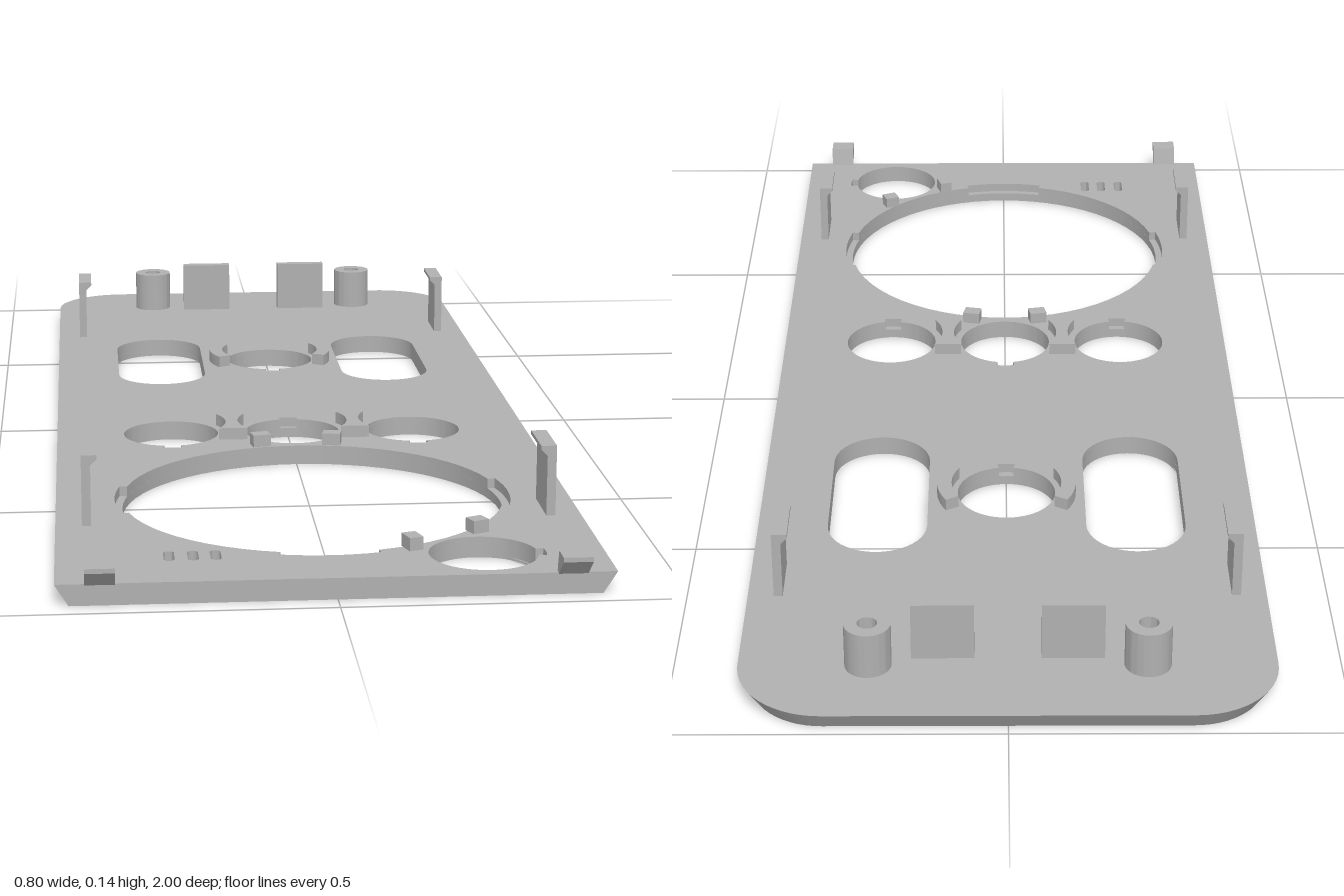
import * as THREE from 'three';
import { toCreasedNormals } from 'three/addons/utils/BufferGeometryUtils.js';

const H = 0.032;      // plate thickness
const SKIN = 0.004;   // depth of the grooves underneath
const MID = 0.016;    // floor of the notches around the holes
const DEG = Math.PI / 180;

// Points of an arc in the plan (x, z), angles in degrees
function arc(cx, cz, r, a0, a1, n = 10) {
  return Array.from({ length: n + 1 }, (_, i) => {
    const a = (a0 + (a1 - a0) * i / n) * DEG;
    return new THREE.Vector2(cx + r * Math.cos(a), cz + r * Math.sin(a));
  });
}

// Circle whose radius grows by a notch at each listed [angle, half width]
function circle(cx, cz, r, notches = [], grow = 0.012) {
  const pts = [];
  let at = 0;
  const sorted = notches.map(([a, w]) => [a - w, a + w]).sort((p, q) => p[0] - q[0]);
  if (!sorted.length) return arc(cx, cz, r, 0, 360, 64).slice(0, -1);
  at = sorted[0][0];
  const end = at + 360;
  sorted.forEach(([a, b], i) => {
    const next = i + 1 < sorted.length ? sorted[i + 1][0] : end;
    pts.push(...arc(cx, cz, r + grow, a, b, 8));
    pts.push(...arc(cx, cz, r, b, next, Math.ceil((next - b) / 6)));
  });
  return pts;
}

function roundRect(x, z0, z1, r, cx = 0) {
  return [
    ...arc(cx + x - r, z1 - r, r, 0, 90), ...arc(cx - x + r, z1 - r, r, 90, 180),
    ...arc(cx - x + r, z0 + r, r, 180, 270), ...arc(cx + x - r, z0 + r, r, 270, 360),
  ];
}

// Upright extrusion of a plan outline between two heights
function slab(points, holes, y0, y1) {
  const shape = new THREE.Shape(points);
  shape.holes = holes.map((h) => new THREE.Path(h));
  const g = new THREE.ExtrudeGeometry(shape, { depth: y1 - y0, bevelEnabled: false });
  return g.rotateX(Math.PI / 2).translate(0, y1, 0);
}

// Pull the outer rim inwards towards the underside; the front edge stays upright
function taper(g) {
  const p = g.attributes.position;
  for (let i = 0; i < p.count; i++) {
    const x = p.getX(i), z = p.getZ(i);
    const cx = THREE.MathUtils.clamp(x, -0.27, 0.27), cz = Math.max(z, -0.87);
    const d = Math.hypot(x - cx, z - cz);
    if (d < 0.125) continue;
    const k = (d - 0.02 * (1 - p.getY(i) / H)) / d;
    p.setX(i, cx + (x - cx) * k);
    p.setZ(i, cz + (z - cz) * k);
  }
  g.computeVertexNormals();
  return g;
}

export function createModel() {
  const model = new THREE.Group();
  model.name = 'remoteFaceplate';
  const grey = new THREE.MeshStandardMaterial({ color: 0xb0b0b0 });
  grey.name = 'grey plastic';
  const add = (name, g) => {
    const m = new THREE.Mesh(toCreasedNormals(g, 0.5), grey);
    m.name = name;
    model.add(m);
    return m;
  };

  // Plate outline and its openings
  const outline = [
    new THREE.Vector2(0.4, 0.965), new THREE.Vector2(-0.4, 0.965),
    ...arc(-0.27, -0.87, 0.13, 180, 270, 14), ...arc(0.27, -0.87, 0.13, 270, 360, 14),
  ];
  const slots = [-1, 1].map((s) => roundRect(0.08, -0.56, -0.195, 0.0799, s * 0.208));
  const grille = [-0.235, -0.2, -0.167].map((x) => roundRect(0.008, 0.822, 0.868, 0.0079, x));
  const upperHoles = (n) => [...slots, circle(0, -0.377, 0.08, n ? [[90, 9]] : [])];
  const lowerHoles = (n) => [
    ...grille,
    circle(-0.207, 0.157, 0.08, n ? [[90, 10]] : []),
    circle(0, 0.157, 0.08, n ? [[270, 10]] : []),
    circle(0.207, 0.157, 0.08, n ? [[90, 10]] : []),
    circle(0, 0.55, 0.297, n ? [[0, 14], [90, 14], [180, 14]] : []),
    circle(0.222, 0.866, 0.08, n ? [[0, 10]] : []),
  ];

  // Long groove round the lower buttons and the dial, open at the corner button
  const around = (o) => [
    ...arc(0, 0.55, 0.307 + o, 70, 180, 30),
    ...arc(-0.227, 0.125, 0.08 + o, 180, 270), ...arc(0.227, 0.125, 0.08 + o, 270, 360),
    ...arc(0, 0.55, 0.307 + o, 0, 40, 12),
  ];
  const groove = [...around(0.004), ...around(-0.004).reverse()];

  // Plate in three layers: grooved skin, plain core, notched top
  add('plateSkin', taper(slab(outline,
    [roundRect(0.33, -0.605, -0.15, 0.1), groove, ...lowerHoles(false)], 0, SKIN)));
  add('slotPanel', slab(roundRect(0.32, -0.595, -0.16, 0.09), upperHoles(false), 0, SKIN));
  add('plateCore', taper(slab(outline, [...upperHoles(false), ...lowerHoles(false)], SKIN, MID)));
  add('plateTop', taper(slab(outline, [...upperHoles(true), ...lowerHoles(true)], MID, H)));

  const box = (name, w, h, d, x, z, turn = 0) => {
    const m = add(name, new THREE.BoxGeometry(w, h, d));
    m.position.set(x, H + h / 2, z);
    m.rotation.y = turn;
  };

  for (const s of [-1, 1]) {
    const side = s > 0 ? 'left' : 'right';

    // Snap clips along the sides, hooked inwards
    const hook = new THREE.Shape([[0.346, H], [0.36, H], [0.36, 0.142], [0.336, 0.142],
      [0.336, 0.136], [0.346, 0.126]].map(([x, y]) => new THREE.Vector2(s * x, y)));
    for (const z of [-0.64, 0.64]) {
      const g = new THREE.ExtrudeGeometry(hook, { depth: 0.092, bevelEnabled: false });
      add(side + 'SideClip', g.translate(0, 0, z - 0.046));
    }

    // Front lugs: wedges overhanging the front edge
    const lug = new THREE.Shape([[0.955, 0.03], [0.965, 0.03], [1, 0.058], [1, 0.065], [0.965, 0.065]]
      .map(([z, y]) => new THREE.Vector2(-z, y)));
    const lugGeo = new THREE.ExtrudeGeometry(lug, { depth: 0.043, bevelEnabled: false });
    add(side + 'FrontLug', lugGeo.rotateY(Math.PI / 2).translate(s * 0.336 - 0.0215, 0, 0));

    // Screw bosses and upright ribs at the back
    add(side + 'ScrewBoss', slab(circle(s * 0.207, -0.87, 0.035), [circle(s * 0.207, -0.87, 0.015)], H, 0.105));
    box(side + 'BackRib', 0.094, 0.093, 0.02, s * 0.097, -0.845);

    // Curved guides beside the upper button
    const mid = s > 0 ? 0 : 180;
    add(side + 'CurvedGuide', slab([...arc(0, -0.377, 0.114, mid - 30, mid + 30),
      ...arc(0, -0.377, 0.09, mid + 30, mid - 30)], [], H, 0.052));

    // Waisted guides between the lower buttons
    add(side + 'WaistedGuide', slab([...arc(0, 0.157, 0.093, mid - 31, mid + 31),
      ...arc(s * 0.207, 0.157, 0.093, 180 - mid - 31, 180 - mid + 31)], [], H, 0.052));

    // Small feet between the middle button and the dial
    box(side + 'DialFoot', 0.03, 0.02, 0.024, s * 0.06, 0.243, s * -0.2);
  }

  // Feet beside the corner button
  box('cornerFoot', 0.022, 0.02, 0.03, 0.122, 0.832, 0.3);
  box('cornerFoot', 0.026, 0.02, 0.024, 0.229, 0.757, 0.4);

  return model;
}
